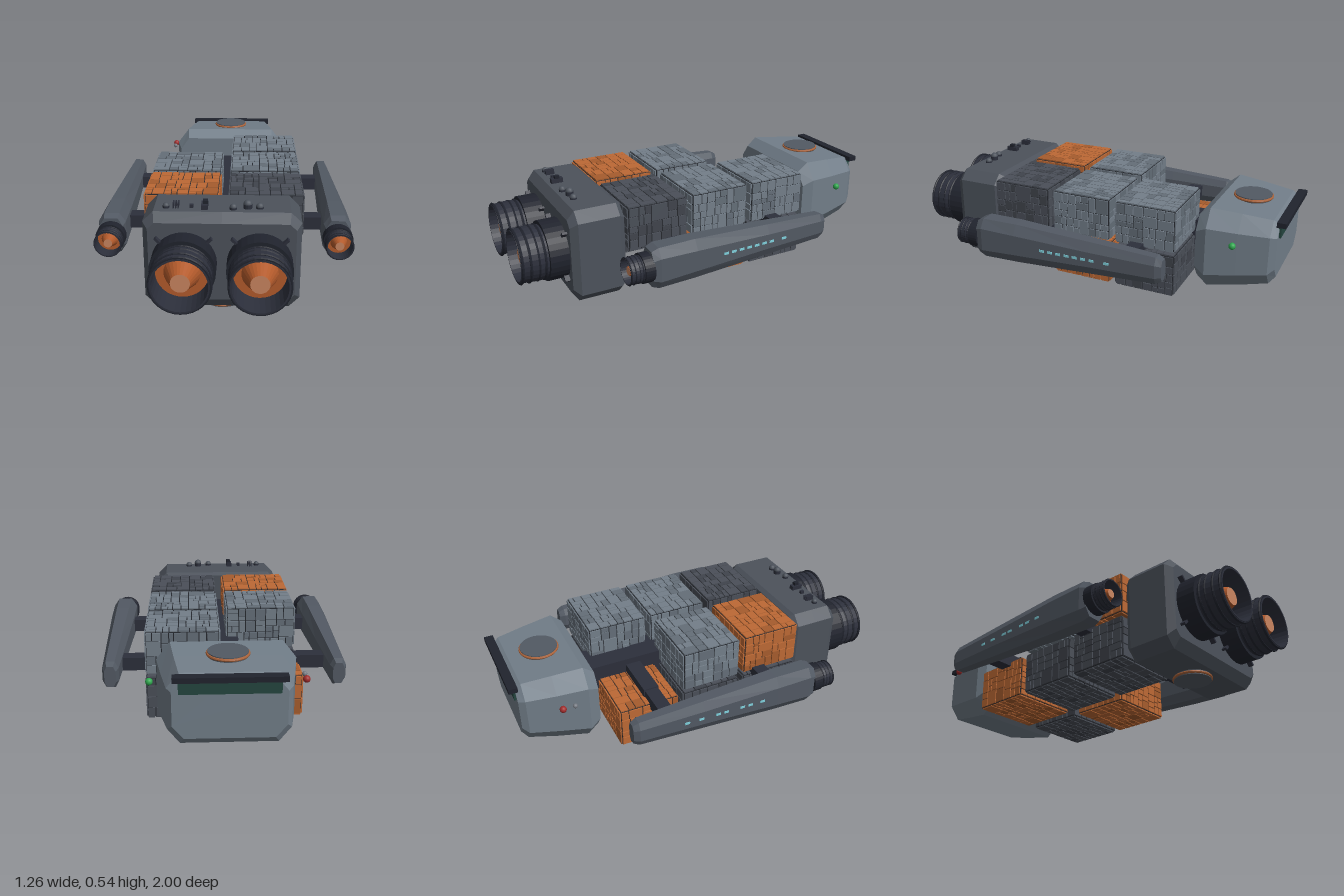
import * as THREE from 'three';
import { mergeGeometries } from 'three/addons/utils/BufferGeometryUtils.js';

const mats = {};
function mat(color, smooth = false) {
  const key = color + '_' + smooth;
  mats[key] ??= new THREE.MeshStandardMaterial({ color, flatShading: !smooth, side: THREE.DoubleSide });
  return mats[key];
}

const HULL = 0x4c525b, POD = 0x525963, BRIDGE = 0x717d88, DARK = 0x2c2f3b, BLACK = 0x20232d;
const ORANGE = 0xb35a2b, COPPER = 0xa8623a, PLUG = 0xc98560, SEAM = 0x25282e;

function add(parent, name, geo, color, x = 0, y = 0, z = 0, smooth = false) {
  const m = new THREE.Mesh(geo, mat(color, smooth));
  m.name = name;
  m.position.set(x, y, z);
  parent.add(m);
  return m;
}
const box = (w, h, d) => new THREE.BoxGeometry(w, h, d);

// Chamfered hull skinned along z; section = [z, half width, bottom, top, chamfer x, chamfer y]
function loft(sections) {
  const rings = sections.map(([z, w, b, t, cx, cy]) => [
    [w, b + cy], [w, t - cy], [w - cx, t], [0, t], [cx - w, t], [-w, t - cy],
    [-w, b + cy], [cx - w, b], [0, b], [w - cx, b],
  ].map(([x, y]) => [x, y, z]));
  const pos = [];
  const tri = (...p) => p.forEach((q) => pos.push(...q));
  const n = rings[0].length;
  for (let s = 0; s < rings.length - 1; s++) {
    for (let i = 0; i < n; i++) {
      const j = (i + 1) % n, a = rings[s], b = rings[s + 1];
      tri(a[i], a[j], b[j]);
      tri(a[i], b[j], b[i]);
    }
  }
  const first = rings[0], last = rings[rings.length - 1];
  for (let i = 1; i < n - 1; i++) {
    tri(last[0], last[i], last[i + 1]);
    tri(first[0], first[i + 1], first[i]);
  }
  const g = new THREE.BufferGeometry();
  g.setAttribute('position', new THREE.Float32BufferAttribute(pos, 3));
  g.computeVertexNormals();
  return g;
}

// Lathe around z from [radius, z] pairs
function turned(points, sides = 32) {
  return new THREE.LatheGeometry(points.map(([r, z]) => new THREE.Vector2(r, z)), sides).rotateX(Math.PI / 2);
}

let seed = 7;
const rand = () => (seed = (seed * 16807) % 2147483647) / 2147483647;

// Irregular split of a rectangle into panel tiles
function split(u, v, w, h, out) {
  const big = Math.max(w, h);
  if (big < 0.06 || (big < 0.09 && rand() < 0.3)) return out.push([u, v, w, h]);
  const k = 0.35 + 0.3 * rand();
  if (w > h) {
    split(u, v, w * k, h, out);
    split(u + w * k, v, w * (1 - k), h, out);
  } else {
    split(u, v, w, h * k, out);
    split(u, v + h * k, w, h * (1 - k), out);
  }
}

// Cargo container: dark core covered in panel tiles of two shades
function container(color, x, y, z) {
  const g = new THREE.Group();
  g.name = 'cargoContainer';
  const [W, H, D] = [0.365, 0.22, 0.318], e = 0.007;
  add(g, 'containerCore', box(W - 2 * e, H - 2 * e, D - 2 * e), SEAM);
  const faces = [
    [W, H, D, 0, 0], [W, H, D, 0, Math.PI], [D, H, W, 0, Math.PI / 2],
    [D, H, W, 0, -Math.PI / 2], [W, D, H, -Math.PI / 2, 0], [W, D, H, Math.PI / 2, 0],
  ];
  const shades = [[], []];
  for (const [w, h, depth, rx, ry] of faces) {
    const tiles = [];
    split(-w / 2 + e, -h / 2 + e, w - 2 * e, h - 2 * e, tiles);
    for (const [u, v, tw, th] of tiles) {
      const t = box(tw - 0.005, th - 0.005, e);
      t.translate(u + tw / 2, v + th / 2, depth / 2 - e / 2).rotateX(rx).rotateY(ry);
      shades[rand() < 0.7 ? 0 : 1].push(t);
    }
  }
  const dim = new THREE.Color(color).multiplyScalar(0.75).getHex();
  add(g, 'containerPanels', mergeGeometries(shades[0]), color);
  if (shades[1].length) add(g, 'containerDarkPanels', mergeGeometries(shades[1]), dim);
  g.position.set(x, y, z);
  return g;
}

// Thruster of unit radius, facing +z from its mount
function thruster(name, r, collar, length) {
  const g = new THREE.Group();
  g.name = name;
  const L = length, c = collar;
  add(g, 'collar', turned([[0, 0], [r, 0], [r, c], [r * 0.88, c]]), BLACK);
  add(g, 'nozzle', turned([[r * 0.88, c], [r * 0.92, c + (L - c) * 0.3], [r * 0.9, c + (L - c) * 0.6],
    [r * 0.87, L], [r * 0.82, L], [r * 0.8, c]]), DARK);
  for (const k of [0.12, 0.35, 0.65, 0.94]) {
    add(g, 'nozzleRing', new THREE.TorusGeometry(r * 0.89, r * 0.045, 6, 32), BLACK, 0, 0, c + (L - c) * k);
  }
  add(g, 'burnerDisc', new THREE.CircleGeometry(r * 0.82, 32), ORANGE, 0, 0, c + 0.005);
  const h = (L - c) * 0.75;
  add(g, 'burnerCone', turned([[r * 0.55, 0], [r * 0.29, h]], 24), ORANGE, 0, 0, c + 0.005);
  add(g, 'burnerPlug', new THREE.CircleGeometry(r * 0.29, 24), PLUG, 0, 0, c + 0.005 + h);
  return g;
}

// Round hatch with a copper rim
function hatch(parent, name, y, z) {
  add(parent, name, new THREE.CylinderGeometry(0.092, 0.092, 0.022, 32), POD, 0, y, z);
  const rim = add(parent, name + 'Rim', new THREE.TorusGeometry(0.092, 0.007, 8, 32), COPPER, 0, y, z);
  rim.rotation.x = Math.PI / 2;
}

export function createModel() {
  const ship = new THREE.Group();
  ship.name = 'cargoShip';

  // Spine
  add(ship, 'spine', box(0.17, 0.135, 1.12), DARK, 0, 0.267, -0.04);

  // Engine block with bevelled ends
  add(ship, 'engineBlock', loft([
    [0.5, 0.345, 0.04, 0.485, 0.05, 0.05], [0.525, 0.36, 0.025, 0.5, 0.05, 0.05],
    [0.63, 0.36, 0.025, 0.5, 0.05, 0.05], [0.735, 0.36, 0.025, 0.5, 0.05, 0.05],
    [0.77, 0.335, 0.075, 0.457, 0.03, 0.03],
  ]), HULL);
  for (const s of [-1, 1]) {
    const t = thruster('mainThruster', 0.15, 0.1, 0.235);
    t.position.set(s * 0.172, 0.264, 0.765);
    for (let i = 0; i < 4; i++) {
      const a = Math.PI / 4 + i * Math.PI / 2;
      const fin = add(t, 'thrusterBrace', box(0.05, 0.012, 0.03), DARK, 0.155 * Math.cos(a), 0.155 * Math.sin(a), 0.015);
      fin.rotation.z = a;
    }
    ship.add(t);
  }
  hatch(ship, 'bellyHatch', 0.012, 0.62);

  // Sensors on top of the engine block
  for (const [x, r, h, z] of [[-0.255, 0.015, 0.01, 0.69], [0.05, 0.017, 0.01, 0.7], [0.115, 0.02, 0.02, 0.685], [0.17, 0.018, 0.008, 0.685]]) {
    add(ship, 'sensorBase', new THREE.CylinderGeometry(r, r, h, 12), DARK, x, 0.5 + h / 2, z);
    add(ship, 'sensorDome', new THREE.SphereGeometry(r, 12, 8), HULL, x, 0.5 + h, z, true);
  }
  for (const x of [-0.222, -0.211, -0.2]) add(ship, 'antenna', box(0.005, 0.03, 0.045), DARK, x, 0.51, 0.68);
  add(ship, 'vent', box(0.016, 0.02, 0.02), DARK, -0.14, 0.506, 0.685);
  add(ship, 'sensorPost', box(0.03, 0.025, 0.06), DARK, -0.08, 0.51, 0.685);
  add(ship, 'sensorHead', box(0.022, 0.016, 0.025), BLACK, -0.076, 0.53, 0.685);

  // Cargo: [side, upper or lower, row, colour]
  const light = 0x737e89, dark = 0x4a4f58, rust = 0xbd6935;
  for (const [side, level, row, color] of [
    [1, 1, 0, light], [-1, 1, 1, light], [1, 1, 1, light], [-1, 1, 2, rust], [1, 1, 2, dark],
    [-1, -1, 0, rust], [1, -1, 0, dark], [-1, -1, 1, dark], [1, -1, 1, rust], [-1, -1, 2, dark],
  ]) {
    ship.add(container(color, side * 0.204, 0.265 + level * 0.118, -0.352 + row * 0.346));
  }

  // Side pods, struts and pod windows
  for (const s of [-1, 1]) {
    const pod = new THREE.Group();
    pod.name = s > 0 ? 'leftPod' : 'rightPod';
    pod.position.x = s * 0.556;
    add(pod, 'podHull', loft([
      [-0.52, 0.028, 0.215, 0.32, 0.012, 0.025], [-0.49, 0.04, 0.2, 0.335, 0.018, 0.035],
      [-0.16, 0.052, 0.183, 0.35, 0.024, 0.045], [0.25, 0.065, 0.162, 0.367, 0.03, 0.05],
      [0.44, 0.067, 0.157, 0.365, 0.03, 0.045], [0.475, 0.058, 0.17, 0.35, 0.025, 0.04],
    ]), POD);
    const t = thruster('podThruster', 0.073, 0.05, 0.12);
    t.position.set(0, 0.263, 0.47);
    pod.add(t);
    const windows = s > 0 ? [0, 1, 2, 3, 4, 5, 6, 7.7] : [-1.5, 0, 1, 3, 4, 6, 7.7];
    for (const i of windows) {
      const z = 0.092 - 0.0445 * i;
      const w = 0.052 + (z + 0.16) * 0.0317;
      add(pod, 'podWindow', box(0.006, 0.012, 0.026), 0x7fd0dc, s * w, 0.265, z);
    }
    ship.add(pod);
    for (const z of [-0.315, 0.27]) {
      add(ship, 'strut', box(0.2, 0.068, 0.07), DARK, s * 0.42, 0.262, z);
      add(ship, 'strutRoot', box(0.25, 0.08, 0.08), DARK, s * 0.2, 0.262, z);
    }
  }

  // Bridge module
  add(ship, 'bridgeHull', loft([
    [-0.965, 0.25, 0.165, 0.445, 0.05, 0.06], [-0.935, 0.272, 0.13, 0.462, 0.055, 0.07],
    [-0.79, 0.3, 0.1, 0.477, 0.06, 0.08], [-0.64, 0.325, 0.075, 0.49, 0.065, 0.085],
    [-0.585, 0.305, 0.12, 0.445, 0.05, 0.07],
  ]), BRIDGE);
  add(ship, 'bridgeWindow', box(0.44, 0.06, 0.02), 0x24453f, 0, 0.408, -0.965);
  add(ship, 'bridgeVisor', box(0.49, 0.025, 0.045), BLACK, 0, 0.452, -0.9775);
  hatch(ship, 'roofHatch', 0.488, -0.78);

  // Navigation lights
  add(ship, 'greenLight', new THREE.SphereGeometry(0.017, 16, 10), 0x2fa84f, 0.352, 0.355, -0.78, true);
  add(ship, 'redLight', new THREE.SphereGeometry(0.017, 16, 10), 0xa02c2c, -0.354, 0.355, -0.78, true);
  add(ship, 'sideSensor', new THREE.SphereGeometry(0.012, 12, 8), 0x777c84, -0.354, 0.355, -0.72, true);

  return ship;
}
